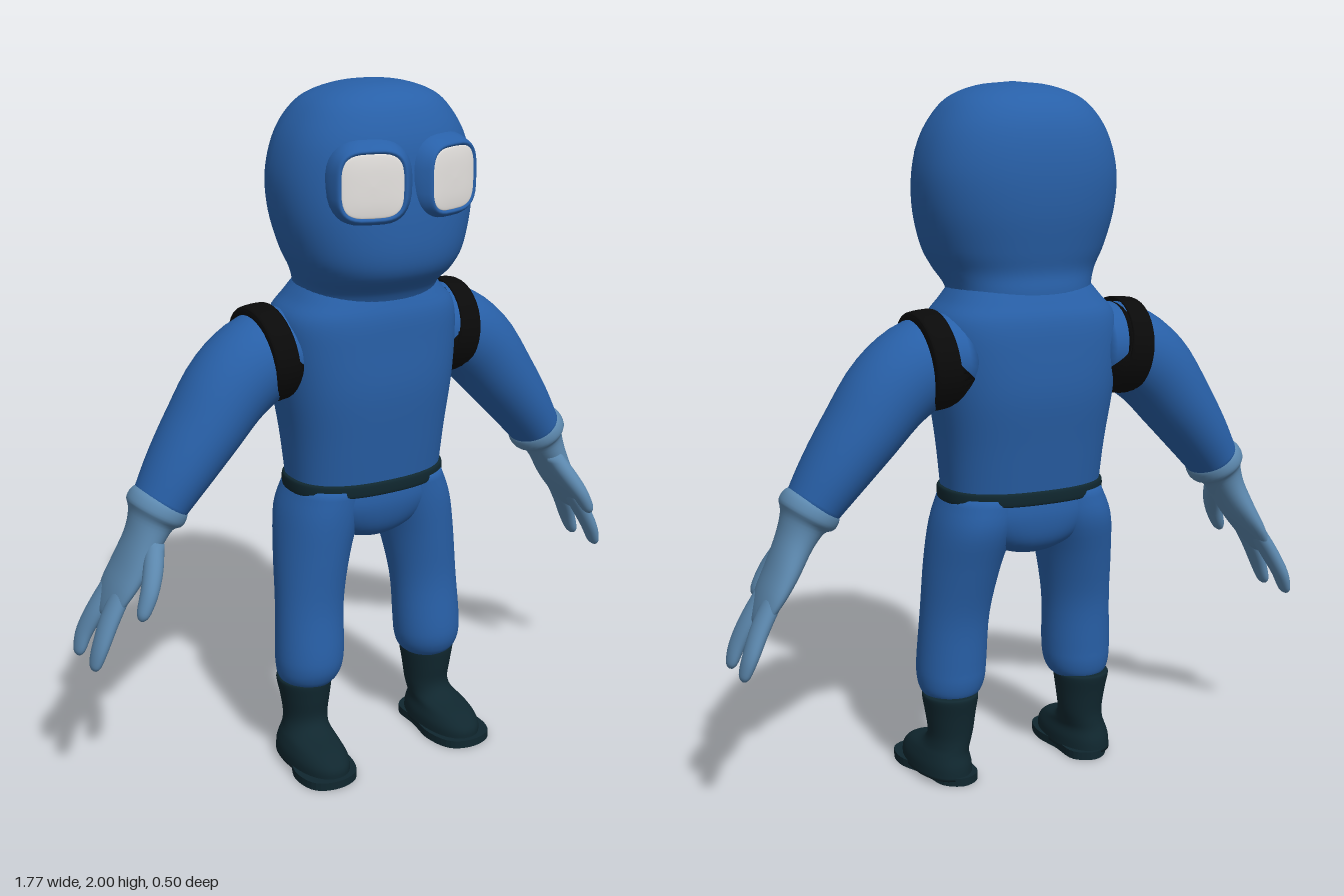
import * as THREE from 'three';

const mat = (name, color, side = THREE.FrontSide) => {
  const m = new THREE.MeshStandardMaterial({ color, side });
  m.name = name;
  return m;
};

// Smooth loft through rows [x, y, z, radiusU, radiusZ, squareness].
// Sections stay horizontal when flat, otherwise they follow the path in the xy plane.
function loft(rows, flat = true, steps = 4, sides = 36) {
  const spline = (pick) => new THREE.CatmullRomCurve3(
    rows.map((r) => new THREE.Vector3(...pick(r))), false, 'catmullrom', 0.5);
  const path = spline((r) => r.slice(0, 3));
  const size = spline((r) => [r[3], r[4], r[5] ?? 2]);
  const count = (rows.length - 1) * steps;
  const pos = [], index = [];
  for (let i = 0; i <= count; i++) {
    const t = i / count, p = path.getPoint(t), s = size.getPoint(t);
    const d = flat ? new THREE.Vector3(0, 1, 0) : path.getTangent(t).setZ(0).normalize();
    for (let j = 0; j < sides; j++) {
      const a = (j / sides) * Math.PI * 2, c = Math.cos(a), n = Math.sin(a);
      const u = s.x * Math.sign(c) * Math.abs(c) ** (2 / s.z);
      const v = s.y * Math.sign(n) * Math.abs(n) ** (2 / s.z);
      pos.push(p.x + d.y * u, p.y - d.x * u, p.z + v);
      if (i < count) {
        const k = i * sides + j, b = i * sides + (j + 1) % sides;
        index.push(k, k + sides, b, b, k + sides, b + sides);
      }
    }
  }
  // End caps
  const first = path.getPoint(0), last = path.getPoint(1);
  const base = pos.length / 3, top = count * sides;
  pos.push(first.x, first.y, first.z, last.x, last.y, last.z);
  for (let j = 0; j < sides; j++) {
    const k = (j + 1) % sides;
    index.push(base, j, k, base + 1, top + k, top + j);
  }
  const g = new THREE.BufferGeometry();
  g.setAttribute('position', new THREE.Float32BufferAttribute(pos, 3));
  g.setIndex(index);
  g.computeVertexNormals();
  return g;
}

export function createModel() {
  const suit = mat('suit blue', 0x2860a8);
  const glove = mat('glove blue grey', 0x5c88ae);
  const boot = mat('boot dark teal', 0x10272f);
  const black = mat('strap black', 0x0a0a0a);
  const white = mat('lens white', 0xe8e5e2);

  const model = new THREE.Group();
  model.name = 'figure';
  const add = (name, geometry, material, parent = model) => {
    const m = new THREE.Mesh(geometry, material);
    m.name = name;
    parent.add(m);
    return m;
  };

  // Upright body parts: rows are [y, halfWidth, centreZ, halfDepth, squareness]
  const upright = (rows) => loft(rows.map(([y, w, z, d, n]) => [0, y, z, w, d, n]), true, 5, 48);

  add('head', upright([
    [1.38, 0.2, -0.035, 0.165, 2.3], [1.44, 0.205, -0.02, 0.18, 2.3], [1.49, 0.228, 0.01, 0.205, 2.3],
    [1.55, 0.258, 0.015, 0.222, 2.3], [1.65, 0.285, 0.007, 0.232, 2.3], [1.75, 0.29, 0, 0.23, 2.3],
    [1.84, 0.27, 0, 0.22, 2.3], [1.91, 0.232, 0, 0.195, 2.3], [1.96, 0.18, 0.005, 0.155, 2.3],
    [1.99, 0.1, 0.012, 0.09, 2.2], [2, 0.01, 0.012, 0.01, 2],
  ]), suit);

  add('torso', upright([
    [0.84, 0.233, -0.035, 0.153, 2.4], [1, 0.245, -0.037, 0.178, 2.5], [1.15, 0.265, -0.04, 0.2, 2.5],
    [1.28, 0.275, -0.04, 0.2, 2.5], [1.36, 0.27, -0.037, 0.195, 2.4], [1.41, 0.23, -0.033, 0.178, 2.4],
    [1.46, 0.19, -0.03, 0.155, 2.3],
  ]), suit);

  add('pelvis', upright([
    [0.88, 0.232, -0.035, 0.153, 2.4], [0.8, 0.232, -0.037, 0.158, 2.4], [0.73, 0.17, -0.04, 0.14, 2.3],
    [0.69, 0.09, -0.04, 0.1, 2.2], [0.672, 0.02, -0.04, 0.03, 2],
  ].reverse()), suit);

  add('belt', upright([
    [0.838, 0.236, -0.035, 0.156, 2.4], [0.844, 0.244, -0.035, 0.165, 2.4],
    [0.874, 0.244, -0.035, 0.166, 2.4], [0.88, 0.236, -0.035, 0.157, 2.4],
  ]), boot);

  for (const s of [1, -1]) {
    const side = s > 0 ? 'left' : 'right';
    const flip = (rows) => rows.map(([x, ...rest]) => [x * s, ...rest]);
    const limb = (rows) => loft(flip(rows), false);

    // Goggle eye: blue raised rim around a pale lens, turned outward
    const eye = new THREE.Group();
    eye.name = side + 'Eye';
    eye.position.set(s * 0.124, 1.752, 0.222);
    eye.rotation.y = s * 0.3;
    model.add(eye);
    const plate = (rows) => loft(rows.map(([y, r, n]) => [0, y, 0, r, r, n])).rotateX(Math.PI / 2);
    add(side + 'EyeRim', plate([[-0.09, 0.13, 2.3], [-0.03, 0.118, 2.6], [0.002, 0.103, 3],
      [0.014, 0.092, 3.4], [0.008, 0.082, 3.5]]), suit, eye);
    add(side + 'EyeLens', plate([[0.009, 0.086, 3.5], [0.012, 0.08, 3.5], [0.015, 0.05, 3], [0.016, 0.004, 2]]), white, eye);

    // Arm and shoulder strap
    add(side + 'Arm', limb([
      [0.2, 1.26, -0.065, 0.12, 0.13], [0.31, 1.247, -0.065, 0.127, 0.135], [0.41, 1.18, -0.065, 0.123, 0.132],
      [0.5, 1.07, -0.063, 0.108, 0.126], [0.58, 0.965, -0.06, 0.092, 0.112], [0.65, 0.865, -0.057, 0.074, 0.09],
    ]), suit);
    add(side + 'ShoulderStrap', limb([
      [0.262, 1.258, -0.07, 0.125, 0.136], [0.27, 1.257, -0.07, 0.138, 0.148],
      [0.328, 1.251, -0.07, 0.139, 0.149], [0.338, 1.25, -0.07, 0.126, 0.137],
    ]), black);

    // Glove with rolled cuff, two broad fingers and a thumb
    const hand = new THREE.Group();
    hand.name = side + 'Glove';
    model.add(hand);
    add(side + 'Palm', limb([
      [0.633, 0.894, -0.057, 0.072, 0.085], [0.642, 0.88, -0.057, 0.084, 0.096], [0.657, 0.856, -0.057, 0.084, 0.096],
      [0.67, 0.834, -0.057, 0.064, 0.078], [0.695, 0.785, -0.057, 0.05, 0.076], [0.735, 0.71, -0.065, 0.04, 0.086],
      [0.775, 0.645, -0.072, 0.03, 0.085], [0.808, 0.585, -0.075, 0.016, 0.06], [0.815, 0.57, -0.075, 0.004, 0.03],
    ]), glove, hand);
    for (const [name, z0, z1] of [['FrontFinger', -0.038, -0.02], ['BackFinger', -0.105, -0.137]])
      add(side + name, limb([
        [0.76, 0.67, z0, 0.024, 0.036], [0.815, 0.58, (z0 + z1) / 2, 0.024, 0.038], [0.85, 0.51, z1, 0.021, 0.034],
        [0.868, 0.462, z1, 0.016, 0.027], [0.874, 0.445, z1, 0.009, 0.016], [0.876, 0.44, z1, 0.001, 0.002],
      ]), glove, hand);
    add(side + 'Thumb', limb([
      [0.68, 0.79, -0.01, 0.025, 0.035], [0.705, 0.735, 0.03, 0.027, 0.037], [0.733, 0.68, 0.063, 0.024, 0.032],
      [0.758, 0.63, 0.076, 0.019, 0.024], [0.768, 0.61, 0.078, 0.011, 0.014], [0.771, 0.604, 0.078, 0.001, 0.002],
    ]), glove, hand);

    // Trouser leg gathered into the boot
    add(side + 'Leg', loft(flip([
      [0.21, 0.25, -0.005, 0.072, 0.075], [0.209, 0.27, -0.003, 0.09, 0.088], [0.207, 0.305, 0, 0.1, 0.098],
      [0.205, 0.36, 0, 0.103, 0.1], [0.198, 0.5, -0.01, 0.102, 0.1], [0.18, 0.65, -0.025, 0.11, 0.125],
      [0.155, 0.77, -0.038, 0.114, 0.148, 2.2], [0.125, 0.86, -0.035, 0.11, 0.148, 2.2],
    ])), suit);

    // Boot upper and sole
    add(side + 'Boot', loft(flip([
      [0.23, 0.015, 0.055, 0.084, 0.16, 2.2], [0.23, 0.05, 0.055, 0.082, 0.156, 2.2], [0.229, 0.08, 0.04, 0.072, 0.13, 2.2],
      [0.222, 0.105, 0.002, 0.065, 0.088], [0.216, 0.14, -0.012, 0.065, 0.073], [0.216, 0.2, -0.013, 0.073, 0.08],
      [0.217, 0.25, -0.015, 0.081, 0.088], [0.217, 0.261, -0.015, 0.076, 0.083],
    ])), boot);
    const outline = [[0.215, -0.112], [0.268, -0.08], [0.288, 0.02], [0.323, 0.12], [0.303, 0.205],
      [0.235, 0.23], [0.168, 0.205], [0.14, 0.12], [0.152, 0.02], [0.16, -0.08]];
    const curve = new THREE.CatmullRomCurve3(
      outline.map(([x, z]) => new THREE.Vector3(x * s, z, 0)), true);
    const shape = new THREE.Shape(curve.getPoints(50).slice(0, -1).map((p) => new THREE.Vector2(p.x, p.y)));
    const sole = new THREE.ExtrudeGeometry(shape, { depth: 0.024, bevelEnabled: false });
    add(side + 'Sole', sole.rotateX(Math.PI / 2).translate(0, 0.024, 0), boot);
  }
  return model;
}
